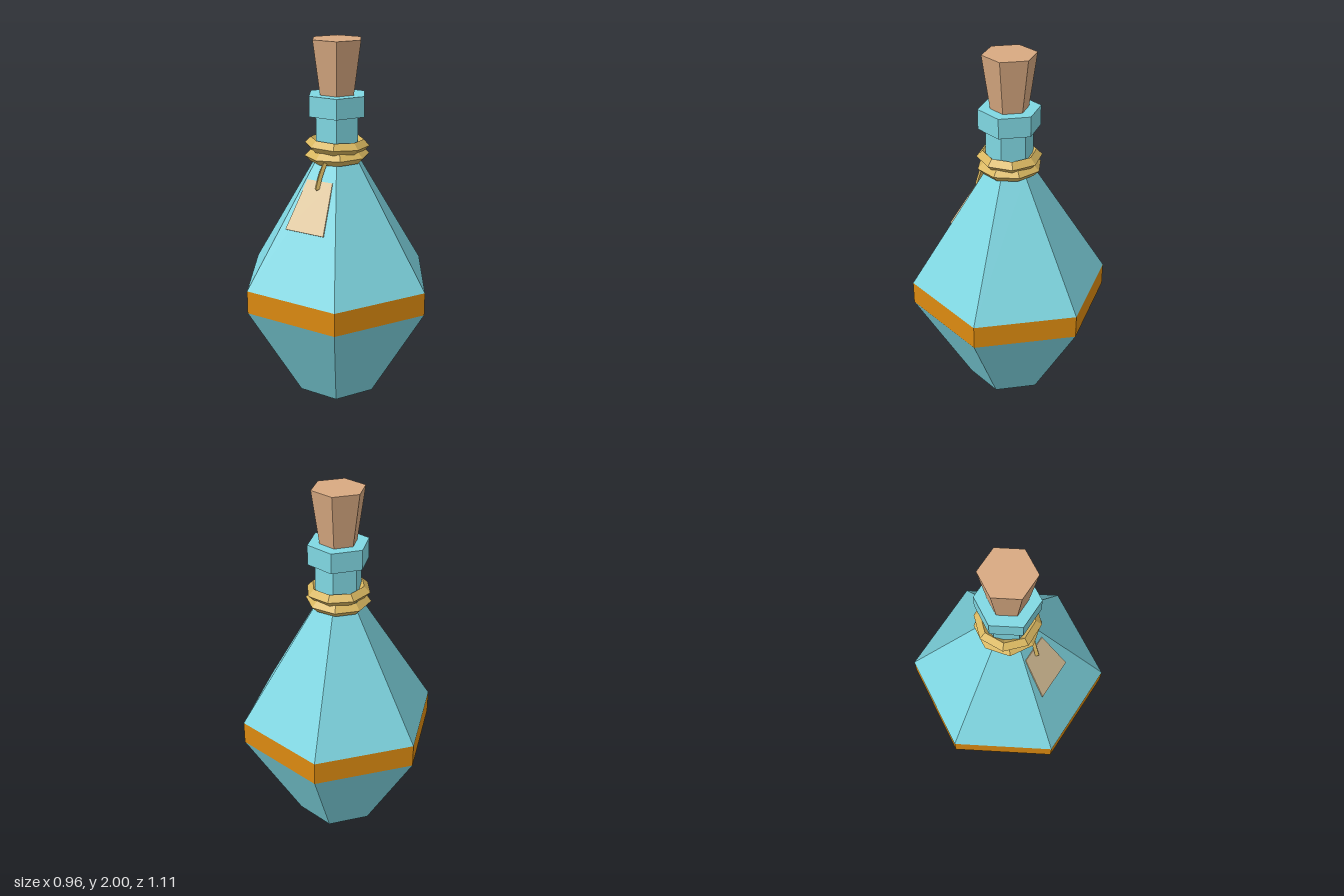
import * as THREE from 'three';

const mat = (name, color) => {
  const m = new THREE.MeshStandardMaterial({ color, flatShading: true });
  m.name = name;
  return m;
};

export function createModel() {
  const glass = mat('teal glass', 0x80d8e3);
  const band = mat('amber band', 0xdc8a10);
  const cork = mat('cork', 0xd8a981);
  const rope = mat('rope', 0xd9b760);
  const paper = mat('tag paper', 0xdfc79c);

  const model = new THREE.Group();
  model.name = 'potionBottle';

  const add = (parent, name, geometry, material) => {
    const mesh = new THREE.Mesh(geometry, material);
    mesh.name = name;
    parent.add(mesh);
    return mesh;
  };

  // Six-sided sections stacked up the bottle: name, bottom y, top y, bottom radius, top radius
  const sections = [
    ['lowerBody', 0, 0.55, 0.235, 0.555, glass],
    ['waistBand', 0.55, 0.68, 0.555, 0.555, band],
    ['upperBody', 0.68, 1.36, 0.555, 0.129, glass],
    ['neck', 1.36, 1.6, 0.129, 0.129, glass],
    ['lip', 1.6, 1.71, 0.168, 0.168, glass],
    ['stopper', 1.71, 2, 0.103, 0.145, cork],
  ];
  for (const [name, y0, y1, r0, r1, material] of sections) {
    const open = name === 'waistBand' || name === 'neck';
    const g = new THREE.CylinderGeometry(r1, r0, y1 - y0, 6, 1, open);
    add(model, name, g, material).position.y = (y0 + y1) / 2;
  }

  // Two loops of rope round the neck, slightly tilted
  [[1.378, 0.12, 0.02], [1.436, -0.09, -0.03]].forEach(([y, turn, tilt], i) => {
    const g = new THREE.TorusGeometry(0.144, 0.033, 4, 8);
    g.rotateX(Math.PI / 2).rotateY(turn).rotateZ(tilt);
    add(model, 'ropeLoop' + (i + 1), g, rope).position.y = y;
  });

  // Tag and its string hang against the front right face
  const hanging = new THREE.Group();
  hanging.name = 'hangingTag';
  hanging.rotation.y = -Math.PI / 6;
  model.add(hanging);

  const outline = new THREE.Shape([
    new THREE.Vector2(-0.132, -0.145),
    new THREE.Vector2(0.106, -0.145),
    new THREE.Vector2(0.074, 0.145),
    new THREE.Vector2(-0.084, 0.145),
  ]);
  const tagGeometry = new THREE.ExtrudeGeometry(outline, { depth: 0.008, bevelEnabled: false });
  const tag = add(hanging, 'tag', tagGeometry, paper);
  tag.position.set(0, 1.135, 0.235);
  tag.rotation.x = -0.529;

  const path = new THREE.CatmullRomCurve3([
    new THREE.Vector3(0.015, 1.37, 0.14),
    new THREE.Vector3(0, 1.3, 0.166),
    new THREE.Vector3(-0.008, 1.225, 0.19),
  ]);
  const string = new THREE.Group();
  string.name = 'string';
  hanging.add(string);
  add(string, 'stringCord', new THREE.TubeGeometry(path, 4, 0.014, 4), rope);
  // Closed tip of the string
  const tip = add(string, 'stringTip', new THREE.OctahedronGeometry(0.014), rope);
  tip.position.set(-0.008, 1.225, 0.19);

  return model;
}
